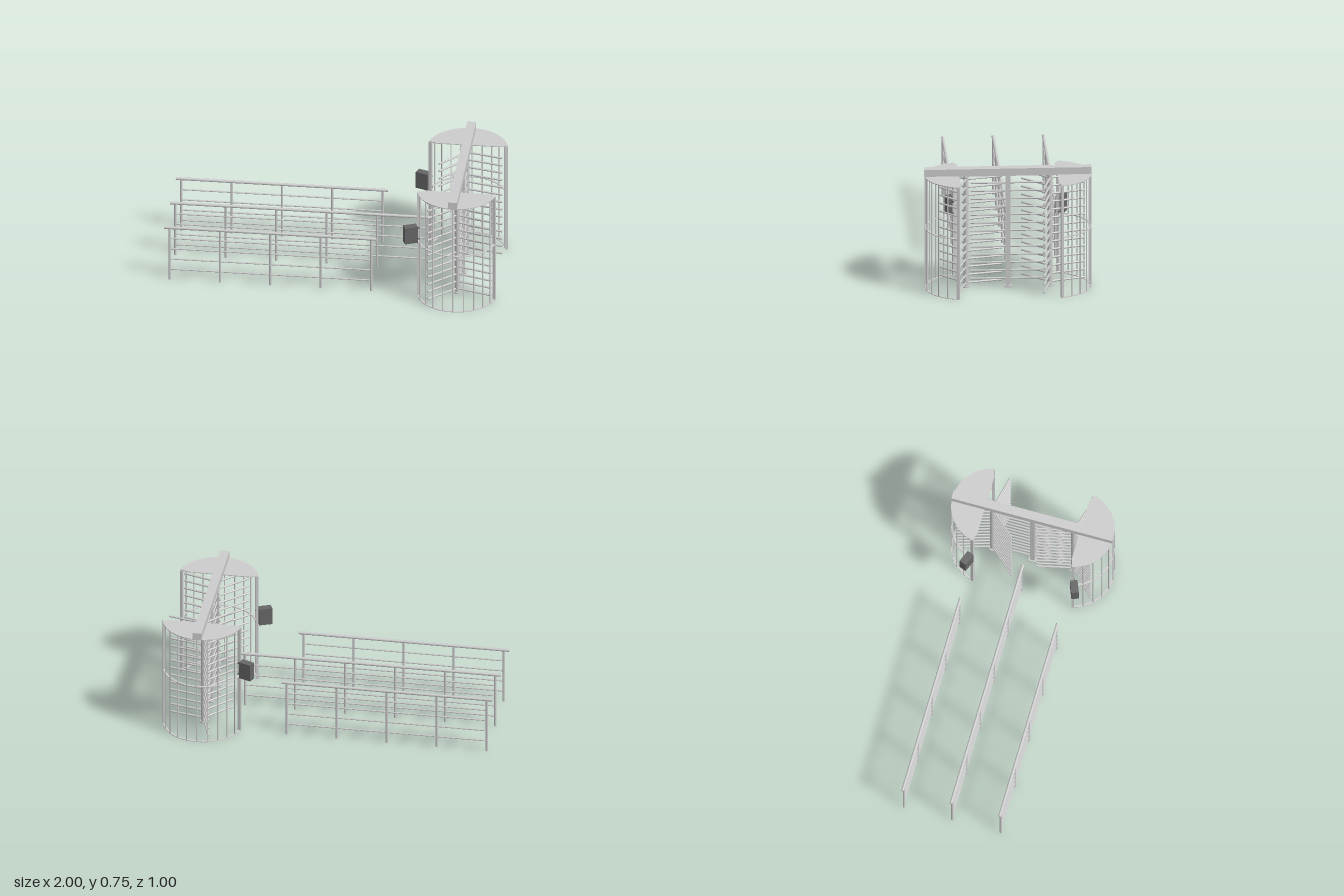
import * as THREE from 'three';

const grey = new THREE.MeshStandardMaterial({ color: 0xcccccc });
const dark = new THREE.MeshStandardMaterial({ color: 0x666666 });

const CX = 0.762;       // turnstile axis line
const RZ = 0.252;       // rotor distance from the centre
const R = 0.24;         // cage radius
const TOP = 0.705;

function add(parent, name, geometry, x = 0, y = 0, z = 0, material = grey) {
  const mesh = new THREE.Mesh(geometry, material);
  mesh.name = name;
  mesh.position.set(x, y, z);
  parent.add(mesh);
  return mesh;
}

function group(parent, name) {
  const g = new THREE.Group();
  g.name = name;
  parent.add(g);
  return g;
}

// Round bar between two points
function bar(parent, name, a, b, r, sides = 10) {
  const from = new THREE.Vector3(...a), to = new THREE.Vector3(...b);
  const dir = to.clone().sub(from);
  const mesh = add(parent, name, new THREE.CylinderGeometry(r, r, dir.length(), sides));
  mesh.position.copy(from).add(to).multiplyScalar(0.5);
  mesh.quaternion.setFromUnitVectors(new THREE.Vector3(0, 1, 0), dir.normalize());
  return mesh;
}

// Flat horizontal plate whose outline is drawn in x and z; y is its top
function plate(parent, name, points, y, thickness) {
  const geometry = new THREE.ExtrudeGeometry(new THREE.Shape(points), { depth: thickness, bevelEnabled: false });
  geometry.rotateX(Math.PI / 2);
  return add(parent, name, geometry, 0, y, 0);
}

// Queue railing: posts, handrail and four thin rails
function railing(parent, name, z, postCount) {
  const g = group(parent, name);
  const x0 = -0.968, step = 0.3036, x1 = x0 + step * (postCount - 1);
  for (let i = 0; i < postCount; i++) {
    const x = x0 + step * i;
    bar(g, 'railingPost', [x, 0, z], [x, 0.35, z], 0.0075);
  }
  bar(g, 'handrail', [-1, 0.353, z], [x1 + 0.031, 0.353, z], 0.009, 14);
  for (let i = 1; i <= 4; i++) bar(g, 'lowerRail', [x0, 0.07 * i, z], [x1, 0.07 * i, z], 0.005, 8);
}

// Curved cage with canopy; side is +1 for the front, -1 for the back
function cage(parent, side) {
  const g = group(parent, side > 0 ? 'frontCage' : 'backCage');
  const a0 = 0.235, a1 = Math.PI - a0, zc = 0.257;
  const arc = (r) => Array.from({ length: 33 }, (_, i) => {
    const a = a0 + (a1 - a0) * i / 32;
    return new THREE.Vector2(CX + r * Math.cos(a), side * (zc + r * Math.sin(a)));
  });

  // Canopy
  plate(g, 'canopy', [...arc(R + 0.003),
    new THREE.Vector2(CX - 0.19, side * 0.294),
    new THREE.Vector2(CX + 0.19, side * 0.294)], TOP + 0.003, 0.005);

  // Flat hoops at the floor and at half height
  for (const y of [0.004, 0.382])
    plate(g, 'hoop', [...arc(R + 0.003), ...arc(R - 0.011).reverse()], y, 0.004);

  // Upright bars, with heavier posts at both ends
  for (let i = 0; i <= 10; i++) {
    const a = a0 + (a1 - a0) * i / 10;
    const end = i === 0 || i === 10;
    const w = end ? 0.017 : 0.006, r = end ? R - 0.005 : R;
    const upright = add(g, end ? 'cagePost' : 'cageBar', new THREE.BoxGeometry(w, TOP, w),
      CX + r * Math.cos(a), TOP / 2, side * (zc + r * Math.sin(a)));
    upright.rotation.y = -side * a;
  }

  // Control box on two short brackets
  const box = group(g, 'controlBox');
  box.position.set(0.488, 0.428, side * 0.335);
  box.rotation.y = side * 0.38;
  add(box, 'boxBody', new THREE.BoxGeometry(0.08, 0.108, 0.045), 0, 0, 0, dark);
  for (const y of [-0.037, 0.037])
    add(box, 'boxBracket', new THREE.BoxGeometry(0.022, 0.01, 0.012), 0.048, y, 0, dark);
}

// Rotating column with three wings of arms
function rotor(parent, side) {
  const g = group(parent, side > 0 ? 'frontRotor' : 'backRotor');
  g.position.set(CX, 0, side * RZ);
  add(g, 'rotorColumn', new THREE.CylinderGeometry(0.0145, 0.0145, TOP, 20), 0, TOP / 2, 0);
  for (const y of [0.004, TOP - 0.006])
    add(g, 'rotorFlange', new THREE.CylinderGeometry(0.022, 0.022, 0.008, 20), 0, y, 0);
  for (let wing = 0; wing < 3; wing++) {
    const a = THREE.MathUtils.degToRad((side > 0 ? 17 : 13) + 120 * wing);
    for (let i = 0; i < 14; i++) {
      const y = 0.028 + 0.0502 * i;
      bar(g, 'rotorArm', [0, y, 0], [0.222 * Math.cos(a), y, 0.222 * Math.sin(a)], 0.006);
    }
  }
}

export function createModel() {
  const model = new THREE.Group();
  model.name = 'turnstileGate';

  railing(model, 'frontRailing', 0.29, 5);
  railing(model, 'middleRailing', -0.012, 6);
  railing(model, 'backRailing', -0.313, 5);

  for (const side of [1, -1]) {
    cage(model, side);
    rotor(model, side);
  }

  // Overhead beam and the fixed barrier between the two passages
  add(model, 'overheadBeam', new THREE.BoxGeometry(0.054, 0.046, 1), CX - 0.002, 0.728, 0);
  const barrier = group(model, 'centreBarrier');
  add(barrier, 'centrePost', new THREE.BoxGeometry(0.03, TOP, 0.03), CX, TOP / 2, 0);
  add(barrier, 'centrePostBase', new THREE.BoxGeometry(0.046, 0.008, 0.046), CX, 0.004, 0);
  for (let i = 0; i < 13; i++) {
    const y = 0.053 + 0.0502 * i;
    bar(barrier, 'barrierBar', [CX, y, -0.224], [CX, y, 0.224], 0.006);
  }
  return model;
}
